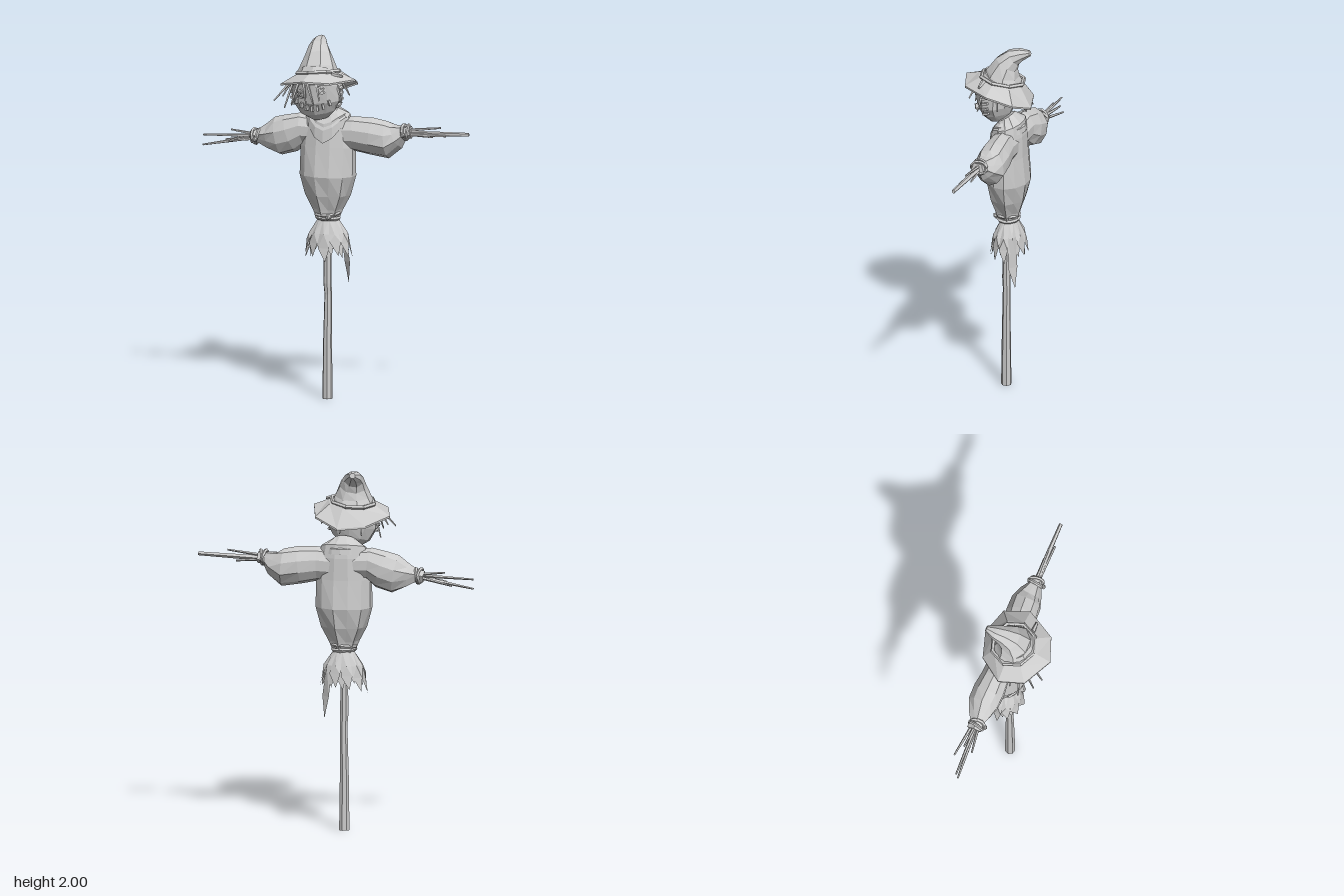
import * as THREE from 'three';

const mat = new THREE.MeshStandardMaterial({ color: 0xcccccc, flatShading: true });
const thin = new THREE.MeshStandardMaterial({ color: 0xcccccc, flatShading: true, side: THREE.DoubleSide });
const V = (x, y, z) => new THREE.Vector3(x, y, z);

function surface(points, index) {
  const g = new THREE.BufferGeometry().setFromPoints(points);
  g.setIndex(index);
  g.computeVertexNormals();
  return g;
}

// Capped skin over sections [x, y, z, radiusU, radiusV, pleat depth]
function loft(sections, sides) {
  const c = sections.map(s => V(s[0], s[1], s[2]));
  const n = c.length;
  const dir = c[n - 1].clone().sub(c[0]).normalize();
  const ref = Math.abs(dir.x) > 0.7 ? V(0, 0, 1) : V(1, 0, 0);
  const pts = [], idx = [];
  sections.forEach(([, , , ru, rv = ru, pleat = 0], i) => {
    const t = c[Math.min(i + 1, n - 1)].clone().sub(c[Math.max(i - 1, 0)]).normalize();
    const u = ref.clone().addScaledVector(t, -ref.dot(t)).normalize();
    const v = t.clone().cross(u);
    for (let k = 0; k < sides; k++) {
      const a = ((k + 0.5) / sides) * Math.PI * 2;
      const f = k % 2 ? 1 - pleat : 1;
      pts.push(c[i].clone().addScaledVector(u, ru * f * Math.cos(a)).addScaledVector(v, rv * f * Math.sin(a)));
      const k2 = (k + 1) % sides, p = i * sides;
      if (i < n - 1) idx.push(p + k, p + k2, p + sides + k, p + k2, p + sides + k2, p + sides + k);
    }
  });
  pts.push(c[0], c[n - 1]);
  for (let k = 0; k < sides; k++) {
    const k2 = (k + 1) % sides, e = (n - 1) * sides;
    idx.push(n * sides, k2, k, n * sides + 1, e + k, e + k2);
  }
  return surface(pts, idx);
}

const stick = (a, b, r0, r1, sides = 5) => loft([[...a, r0], [...b, r1]], sides);

export function createModel() {
  const model = new THREE.Group();
  const add = (name, geo, m = mat, parent = model) => {
    const mesh = new THREE.Mesh(geo, m);
    mesh.name = name;
    parent.add(mesh);
    return mesh;
  };
  const ring = (name, pos, normal, r, tube, sides = 10, squash = 1) => {
    const mesh = add(name, new THREE.TorusGeometry(r, tube, 5, sides));
    mesh.position.set(...pos);
    mesh.quaternion.setFromUnitVectors(V(0, 0, 1), V(...normal).normalize());
    mesh.scale.y = squash;
    return mesh;
  };

  // Post
  add('pole', loft([[-0.043, 0, -0.06, 0.029], [-0.043, 0.3, -0.06, 0.025], [-0.04, 0.58, -0.063, 0.021],
    [-0.043, 0.64, -0.06, 0.023], [-0.043, 1.1, -0.065, 0.02], [-0.05, 1.65, -0.04, 0.02]], 7));

  // Stuffed shirt, pleated into the waist
  add('body', loft([[-0.045, 0.99, -0.072, 0.06, 0.055, 0.2], [-0.045, 1.05, -0.073, 0.085, 0.072, 0.22],
    [-0.045, 1.13, -0.075, 0.128, 0.098, 0.12], [-0.045, 1.24, -0.075, 0.158, 0.118, 0.02],
    [-0.045, 1.4, -0.078, 0.155, 0.098], [-0.045, 1.52, -0.083, 0.14, 0.088],
    [-0.045, 1.575, -0.083, 0.125, 0.078], [-0.045, 1.61, -0.06, 0.06, 0.05]], 12));

  // Waist rope with knot
  ring('waistRope', [-0.045, 1.005, -0.072], [0.05, 1, 0], 0.062, 0.011, 12, 0.92);
  ring('waistRope', [-0.045, 1.025, -0.072], [-0.07, 1, 0.05], 0.064, 0.01, 12, 0.92);
  add('waistKnot', new THREE.IcosahedronGeometry(0.018)).position.set(-0.02, 1.015, -0.01);

  // Torn shirt tail, in two layers of pointed strips
  const strips = 11;
  for (let layer = 0; layer < 2; layer++) {
    for (let i = 0; i < strips; i++) {
      const a = ((i + layer * 0.5) / strips) * Math.PI * 2;
      const long = layer === 0 && i === 4;
      const tipY = long ? 0.63 : 0.77 + 0.035 * ((i * 3 + layer) % 4) / 3 + layer * 0.02;
      const s = 1 - layer * 0.12;
      const at = (r, da, y) => V(-0.043 + Math.sin(a + da) * r * s, y, -0.078 + Math.cos(a + da) * r * s * 0.74);
      const w = 0.3;
      const mid = tipY + (long ? 0.12 : 0.075);
      add('shirtTail', surface([at(0.055, -w, 1.0), at(0.055, w, 1.0), at(0.098, -w, 0.92), at(0.098, w, 0.92),
        at(0.122, -w * 0.9, mid), at(0.122, w * 0.9, mid), at(0.135, 0.1, tipY), at(0.11, 0, 0.92)],
      [0, 2, 7, 0, 7, 1, 1, 7, 3, 2, 4, 7, 7, 4, 5, 7, 5, 3, 4, 6, 5]), thin);
    }
  }

  // Sleeves
  add('leftSleeve', loft([[0.02, 1.47, -0.088, 0.075, 0.09], [0.1, 1.475, -0.088, 0.077, 0.095],
    [0.2, 1.465, -0.095, 0.088, 0.103], [0.29, 1.452, -0.1, 0.088, 0.106, 0.04], [0.345, 1.475, -0.095, 0.066, 0.072, 0.15],
    [0.39, 1.498, -0.087, 0.038, 0.038, 0.2], [0.43, 1.503, -0.087, 0.04, 0.036, 0.25]], 10));
  add('rightSleeve', loft([[-0.1, 1.48, -0.088, 0.075, 0.08], [-0.19, 1.485, -0.088, 0.078, 0.088],
    [-0.26, 1.455, -0.094, 0.088, 0.105], [-0.335, 1.432, -0.098, 0.086, 0.108, 0.04], [-0.4, 1.428, -0.094, 0.065, 0.07, 0.15],
    [-0.45, 1.425, -0.09, 0.038, 0.038, 0.2], [-0.49, 1.418, -0.09, 0.042, 0.036, 0.25]], 10));

  // Wrist ropes
  for (const [name, x, y, dx] of [['leftWristRope', 0.395, 1.5, 1], ['rightWristRope', -0.455, 1.425, -1]]) {
    ring(name, [x, y, -0.088], [dx, 0.25, 0.15], 0.04, 0.01);
    ring(name, [x + dx * 0.012, y, -0.088], [dx, -0.2, -0.2], 0.041, 0.009);
    add(name, new THREE.IcosahedronGeometry(0.015)).position.set(x, y - 0.01, -0.042);
  }

  // Twig hands
  const twigs = [
    ['leftTwig', [0.3, 1.49, -0.088], [0.762, 1.508, -0.085], 0.017, 0.011],
    ['leftTwig', [0.36, 1.505, -0.09], [0.6, 1.535, -0.09], 0.01, 0.005],
    ['leftTwig', [0.36, 1.49, -0.08], [0.635, 1.495, -0.068], 0.011, 0.006],
    ['leftTwig', [0.36, 1.49, -0.09], [0.55, 1.478, -0.1], 0.01, 0.005],
    ['rightTwig', [-0.36, 1.44, -0.09], [-0.765, 1.361, -0.075], 0.015, 0.005],
    ['rightTwig', [-0.42, 1.43, -0.09], [-0.765, 1.415, -0.085], 0.012, 0.005],
    ['rightTwig', [-0.42, 1.43, -0.1], [-0.655, 1.385, -0.14], 0.011, 0.005],
    ['rightTwig', [-0.42, 1.42, -0.08], [-0.61, 1.395, -0.055], 0.01, 0.005],
    ['rightTwig', [-0.42, 1.43, -0.09], [-0.61, 1.45, -0.1], 0.01, 0.005],
  ];
  for (const [name, a, b, r0, r1] of twigs) add(name, stick(a, b, r0, r1));

  // Neckerchief: folded collar with a point at the chest
  const n = 14;
  for (let layer = 0; layer < 2; layer++) {
    const pts = [], idx = [];
    for (let k = 0; k < n; k++) {
      const a = (k / n) * Math.PI * 2, sx = Math.sin(a), cz = Math.cos(a);
      const front = Math.max(0, cz) ** 3;
      const rows = layer ? [[0.075, 1.6 - 0.03 * front, 0.06], [0.1, 1.585 - 0.05 * front, 0.085], [0.105, 1.55 - 0.06 * front, 0.09]]
        : [[0.08, 1.595 - 0.03 * front, 0.065], [0.112, 1.57 - 0.07 * front, 0.095], [0.118, 1.54 - 0.11 * front, 0.1]];
      rows.forEach(([rx, y, rz]) => pts.push(V(-0.042 + rx * sx, y, -0.073 + rz * cz)));
      for (let r = 0; r < 2; r++) {
        const p = k * 3 + r, q = ((k + 1) % n) * 3 + r;
        idx.push(p, p + 1, q, q, p + 1, q + 1);
      }
    }
    add('neckerchief', surface(pts, idx), thin);
  }

  // Sack head
  add('head', loft([[-0.06, 1.57, -0.01, 0.05, 0.04], [-0.07, 1.61, 0.0, 0.105, 0.075], [-0.075, 1.67, 0.01, 0.14, 0.098],
    [-0.078, 1.75, 0.01, 0.142, 0.118], [-0.08, 1.83, -0.02, 0.105, 0.1]], 10));
  const onFace = (name, geo, angle, y, roll = 0) => {
    const f = y < 1.67 ? 0.76 + 0.24 * (y - 1.61) / 0.06 : 1;
    const mesh = add(name, geo);
    mesh.position.set(-0.077 + 0.139 * f * Math.sin(angle), y, 0.01 + 0.105 * f * Math.cos(angle));
    mesh.rotation.set(0, angle, roll, 'YXZ');
  };
  for (const [angle, y] of [[-0.45, 1.715], [0.42, 1.745]]) {
    onFace('eyeButton', new THREE.CylinderGeometry(0.026, 0.026, 0.02, 8).rotateX(Math.PI / 2), angle, y);
    for (const r of [0.8, -0.8]) onFace('eyeThread', new THREE.BoxGeometry(0.03, 0.007, 0.036), angle, y, r);
  }
  for (let i = -3; i <= 3; i++) {
    onFace('mouthStitch', new THREE.BoxGeometry(0.012, 0.03, 0.022), i * 0.25, 1.635 + 0.004 * i * i, i * 0.12);
  }
  for (const side of [-1, 1]) {
    for (let i = 0; i < 4; i++) onFace('seamStitch', new THREE.BoxGeometry(0.035, 0.012, 0.02), side * 1.45, 1.65 + i * 0.032, side * 0.3);
  }

  // Straw hair under the brim
  const straw = [[-0.2, 0.06, -0.3, 1.665, 0.09], [-0.21, 0.02, -0.27, 1.68, 0.03], [-0.19, 0.08, -0.22, 1.64, 0.15],
    [-0.15, 0.11, -0.17, 1.67, 0.18], [-0.12, 0.12, -0.1, 1.67, 0.14], [-0.1, 0.12, -0.06, 1.66, 0.13],
    [-0.05, 0.11, -0.02, 1.69, 0.15], [-0.2, -0.03, -0.24, 1.62, -0.03], [0.04, 0.04, 0.08, 1.67, 0.06],
    [0.04, -0.04, 0.085, 1.69, -0.06], [-0.05, -0.11, -0.04, 1.66, -0.18], [-0.13, -0.1, -0.16, 1.65, -0.17]];
  for (const [x, z, x2, y2, z2] of straw) add('strawHair', stick([x, 1.785, z], [x2, y2, z2], 0.009, 0.004, 4));

  // Hat: uneven eight-sided brim, rope band and crooked crown
  const rim = [[-0.1, 1.8, 0.2], [0.04, 1.79, 0.15], [0.135, 1.79, -0.01], [0.1, 1.745, -0.155],
    [-0.03, 1.69, -0.21], [-0.18, 1.7, -0.165], [-0.29, 1.74, -0.03], [-0.255, 1.765, 0.11]];
  const brim = [], brimIdx = [];
  rim.forEach(([x, y, z], i) => {
    const inX = -0.085 + (x + 0.085) * 0.62, inZ = -0.02 + (z + 0.02) * 0.64;
    const inY = 1.808 + 0.12 * (inZ + 0.02) + 0.1 * (inX + 0.08);
    brim.push(V(x, y, z), V(inX, inY, inZ), V(-0.085 + (x + 0.085) * 0.4, inY + 0.015, -0.02 + (z + 0.02) * 0.4), V(x, y - 0.01, z));
    const p = i * 4, q = ((i + 1) % 8) * 4;
    brimIdx.push(p, q, p + 1, q, q + 1, p + 1, p + 1, q + 1, p + 2, q + 1, q + 2, p + 2, p + 3, q + 3, p, q + 3, q, p);
  });
  add('hatBrim', surface(brim, brimIdx), thin);
  ring('hatBand', [-0.083, 1.817, -0.022], [-0.1, 1, -0.13], 0.122, 0.012, 8);
  add('hatBandKnot', stick([0.02, 1.825, 0.05], [0.08, 1.815, 0.05], 0.014, 0.008));
  add('hatCrown', loft([[-0.083, 1.8, -0.02, 0.122, 0.115], [-0.083, 1.85, -0.025, 0.1, 0.092], [-0.088, 1.905, -0.045, 0.075, 0.068],
    [-0.1, 1.945, -0.08, 0.055, 0.05], [-0.108, 1.966, -0.125, 0.04, 0.034], [-0.11, 1.98, -0.172, 0.016, 0.016]], 8));

  return model;
}
